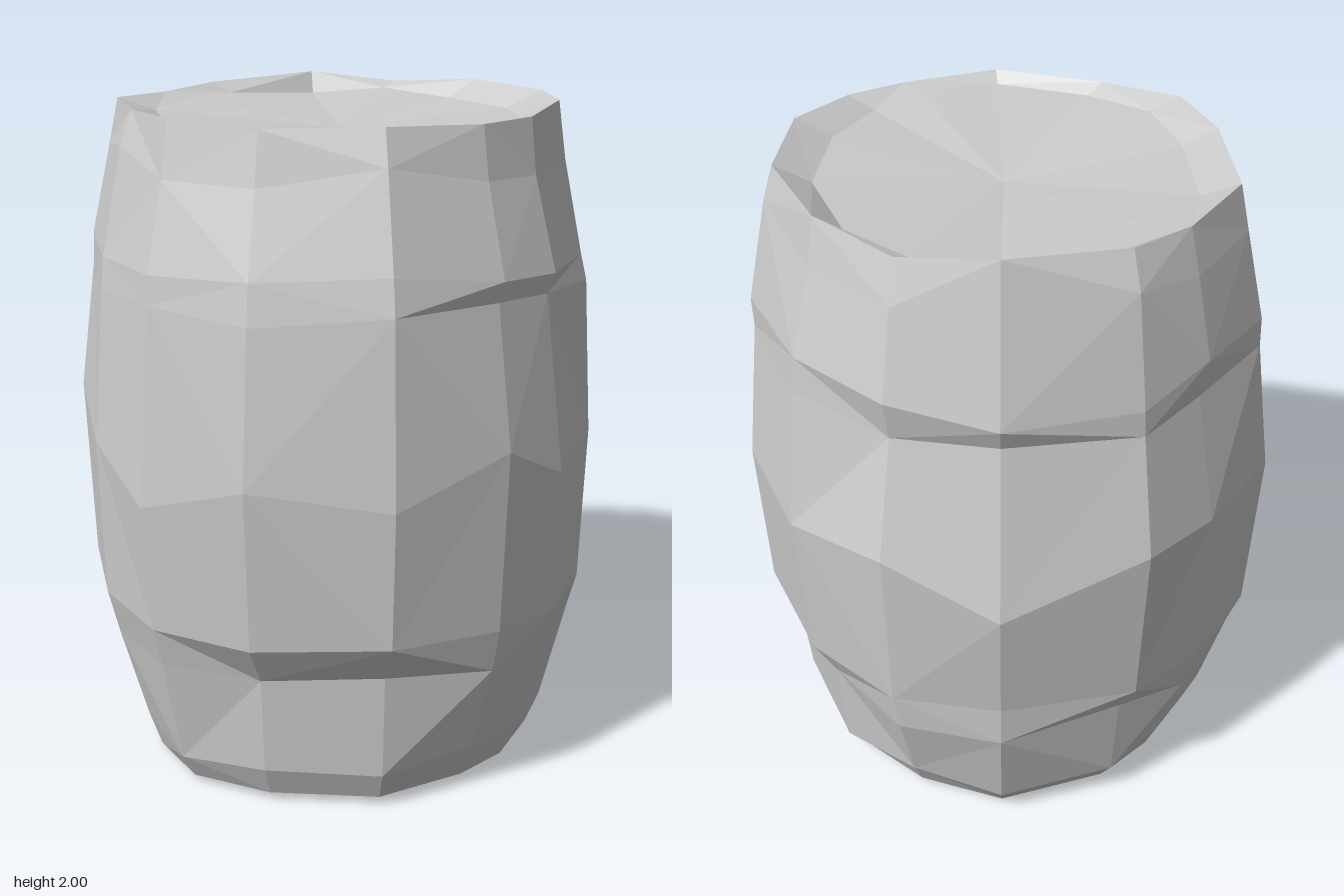
import * as THREE from 'three';

// Seeded generator for the hand-cut irregularity
function seeded(seed) {
  return () => {
    seed = (seed * 16807) % 2147483647;
    return seed / 2147483647;
  };
}

// Widest outline of the barrel as [x, z], running from front towards +x
const OUTLINE = [
  [0.04, 0.775], [0.38, 0.665], [0.57, 0.53], [0.735, 0.27], [0.775, -0.1], [0.6, -0.48],
  [0.33, -0.7], [0, -0.78], [-0.41, -0.66], [-0.6, -0.48], [-0.78, -0.2], [-0.75, 0.23],
  [-0.63, 0.5], [-0.36, 0.68],
];
const SIDES = OUTLINE.length;

// One irregular ring: width and depth factors, shift in z, and the corners
// listed in dents pushed inwards
function ring(rand, { y, sx, sz, dz = 0, wobbleY = 0.04, wobbleR = 0.02, dents = [], dent = 0 }) {
  return OUTLINE.map(([x, z], i) => {
    const s = 1 - rand() * wobbleR - (dents.includes(i) ? dent : 0);
    return new THREE.Vector3(x * sx * s, y + (rand() - 0.5) * wobbleY, z * sz * s + dz);
  });
}

// Joins consecutive rings with faceted triangles
function skin(rings) {
  const points = [];
  for (let r = 0; r < rings.length - 1; r++) {
    for (let i = 0; i < SIDES; i++) {
      const j = (i + 1) % SIDES;
      const a = rings[r][i], b = rings[r][j], c = rings[r + 1][j], d = rings[r + 1][i];
      if ((i + r) % 2) points.push(a, b, c, a, c, d);
      else points.push(a, b, d, b, c, d);
    }
  }
  return points;
}

// Closes a ring with a fan around a centre point
function fan(loop, centre, up) {
  return loop.flatMap((p, i) => {
    const q = loop[(i + 1) % SIDES];
    return up ? [p, q, centre] : [q, p, centre];
  });
}

function createPart(name, points, material) {
  const geometry = new THREE.BufferGeometry().setFromPoints(points);
  geometry.computeVertexNormals();
  const mesh = new THREE.Mesh(geometry, material);
  mesh.name = name;
  return mesh;
}

export function createModel() {
  const rand = seeded(4711);
  const material = new THREE.MeshStandardMaterial({
    color: 0xcccccc, flatShading: true, side: THREE.DoubleSide,
  });

  // Foot, lower ledge, belly, upper ledge, shoulder and rim
  const staves = [
    { y: 0.025, sx: 0.79, sz: 0.755, dz: 0.02, wobbleY: 0.015 },
    { y: 0.13, sx: 0.845, sz: 0.83, dz: 0.01, wobbleY: 0.06 },
    { y: 0.43, sx: 0.94, sz: 0.935, dents: [0, 4, 5, 8, 13], dent: 0.07 },
    { y: 0.56, sx: 0.975, sz: 0.95, dz: 0.01 },
    { y: 1.03, sx: 1, sz: 1, wobbleY: 0.2 },
    { y: 1.49, sx: 0.94, sz: 0.92, dz: 0.015, dents: [1, 2, 6, 7, 9], dent: 0.04 },
    { y: 1.58, sx: 0.93, sz: 0.91, dz: 0.01, wobbleY: 0.06 },
    { y: 1.85, sx: 0.85, sz: 0.815, dz: 0.01, wobbleY: 0.08 },
    { y: 1.98, sx: 0.815, sz: 0.765, dz: 0.015, wobbleY: 0.03 },
  ].map((settings) => ring(rand, settings));
  const foot = staves[0];
  const rim = staves[staves.length - 1];
  foot[7].y = 0;
  rim[7].y = 2;

  // Lip sloping to a shallow dished lid
  const lidEdge = ring(rand, { y: 1.945, sx: 0.68, sz: 0.72, dz: 0.01, wobbleY: 0.02 });

  const group = new THREE.Group();
  group.name = 'barrel';
  group.add(
    createPart('barrelBody', skin(staves), material),
    createPart('barrelLip', skin([rim, lidEdge]), material),
    createPart('barrelLid', fan(lidEdge, new THREE.Vector3(0, 1.9, 0.02), true), material),
    createPart('barrelBase', fan(foot, new THREE.Vector3(0, 0.025, 0), false), material),
  );
  return group;
}
